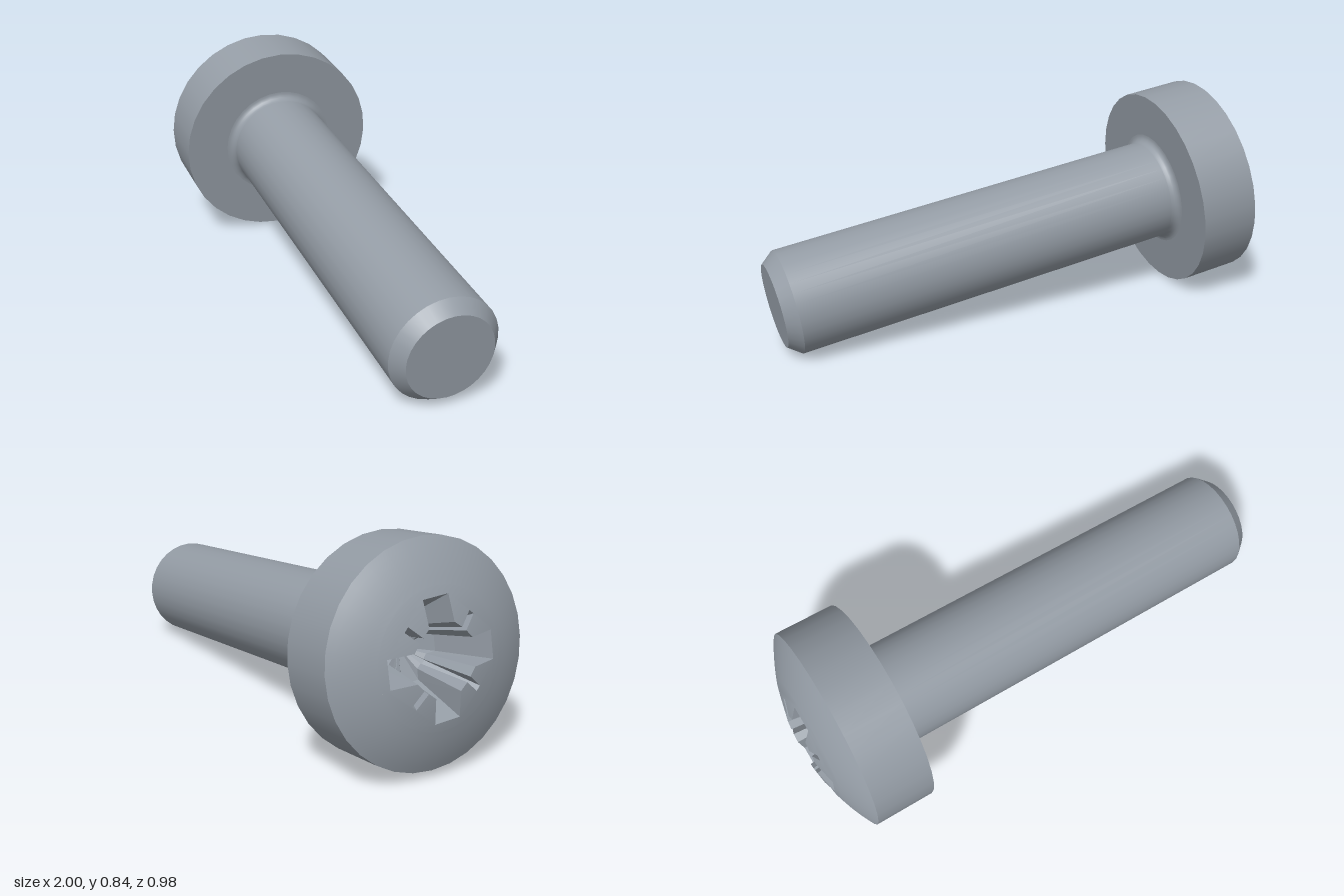
import * as THREE from 'three';

const SEG = 32;
const LENGTH = 1.65;              // underside of head to tip
const HEAD_R = 0.408, RIM_Y = 0.237, DOME = 0.11;
const SHAFT_R = 0.204, FILLET = 0.03;
const DISC_R = 0.25;              // inner part of the dome that holds the recess
const BALL_R = (HEAD_R ** 2 + DOME ** 2) / (2 * DOME);
const BALL_Y = RIM_Y + DOME - BALL_R;
const domeY = (r) => BALL_Y + Math.sqrt(BALL_R ** 2 - r * r);

// Closed outline of the recess: four wide wings with four thin slots between
function recessOutline(wingR, wingW, coreX, slotIn, slotOut, slotW) {
  const pts = [];
  for (let q = 0; q < 4; q++) {
    const turn = (q * Math.PI) / 2 + 0.07;
    const add = (x, y, extra) =>
      pts.push(new THREE.Vector2(x, y).rotateAround(new THREE.Vector2(), turn + extra));
    add(coreX, -wingW, 0);
    add(wingR, -wingW, 0);
    add(wingR, wingW, 0);
    add(coreX, wingW, 0);
    add(slotIn, -slotW, Math.PI / 4);
    add(slotOut, -slotW, Math.PI / 4);
    add(slotOut, slotW, Math.PI / 4);
    add(slotIn, slotW, Math.PI / 4);
  }
  return pts;
}

export function createModel() {
  const steel = new THREE.MeshStandardMaterial({ color: 0x949ca5 });
  steel.name = 'steel';

  const screw = new THREE.Group();
  screw.name = 'screw';
  const add = (name, geometry) => {
    const mesh = new THREE.Mesh(geometry, steel);
    mesh.name = name;
    screw.add(mesh);
  };
  const turned = (name, profile) =>
    add(name, new THREE.LatheGeometry(profile.map(([r, y]) => new THREE.Vector2(r, y)), SEG));

  // Shaft with chamfered tip and a small fillet under the head
  turned('tipFace', [[0, -LENGTH], [0.164, -LENGTH]]);
  turned('tipChamfer', [[0.164, -LENGTH], [SHAFT_R, -LENGTH + 0.05]]);
  const fillet = [];
  for (let i = 0; i <= 6; i++) {
    const a = (i / 6) * (Math.PI / 2);
    fillet.push([SHAFT_R + FILLET * (1 - Math.cos(a)), -FILLET + FILLET * Math.sin(a)]);
  }
  turned('shaft', [[SHAFT_R, -LENGTH + 0.05], [SHAFT_R, -FILLET]]);
  turned('shaftFillet', fillet);

  // Head
  turned('headUnderside', [[SHAFT_R + FILLET, 0], [HEAD_R, 0]]);
  turned('headSide', [[HEAD_R, 0], [HEAD_R, RIM_Y]]);
  const dome = [];
  for (let i = 0; i <= 6; i++) {
    const r = HEAD_R + (DISC_R - HEAD_R) * (i / 6);
    dome.push([r, domeY(r)]);
  }
  turned('domeRing', dome);

  // Middle of the dome, pierced by the recess and curved onto the same sphere
  const top = recessOutline(0.215, 0.052, 0.12, 0.125, 0.19, 0.011);
  const circle = [];
  for (let i = 0; i < SEG; i++) {
    const a = (i / SEG) * Math.PI * 2;
    circle.push(new THREE.Vector2(Math.cos(a) * DISC_R, Math.sin(a) * DISC_R));
  }
  const shape = new THREE.Shape(circle);
  shape.holes.push(new THREE.Path([...top, top[0]]));
  const disc = new THREE.ShapeGeometry(shape);
  disc.rotateX(-Math.PI / 2);
  const pos = disc.attributes.position, nor = disc.attributes.normal;
  for (let i = 0; i < pos.count; i++) {
    const x = pos.getX(i), z = pos.getZ(i), y = domeY(Math.hypot(x, z));
    pos.setY(i, y);
    nor.setXYZ(i, x / BALL_R, (y - BALL_Y) / BALL_R, z / BALL_R);
  }
  add('domeCentre', disc);

  // Tapering recess walls and its pointed floor
  const low = recessOutline(0.12, 0.036, 0.08, 0.084, 0.09, 0.009);
  const upper = top.map((p) => new THREE.Vector3(p.x, domeY(p.length()), -p.y));
  const lower = low.map((p) => new THREE.Vector3(p.x, 0.12, -p.y));
  const apex = new THREE.Vector3(0, 0.07, 0);
  const corners = [];
  upper.forEach((t, i) => {
    const j = (i + 1) % upper.length;
    corners.push(lower[i], upper[j], lower[j], lower[i], t, upper[j], lower[i], lower[j], apex);
  });
  const recess = new THREE.BufferGeometry().setFromPoints(corners);
  recess.computeVertexNormals();
  add('driveRecess', recess);

  // Lay the screw on its side, resting on the head rim and the tip
  const axis = new THREE.Vector3(0.970, -0.127, 0.206).normalize();
  const side = new THREE.Vector3(-axis.z, 0, axis.x).normalize();
  const out = axis.clone().negate();
  const third = new THREE.Vector3().crossVectors(side, out);
  screw.quaternion.setFromRotationMatrix(new THREE.Matrix4().makeBasis(side, out, third));
  screw.position.set(0.96, 0.202, 0.302).addScaledVector(axis, -LENGTH);

  const model = new THREE.Group();
  model.name = 'model';
  model.add(screw);
  return model;
}
